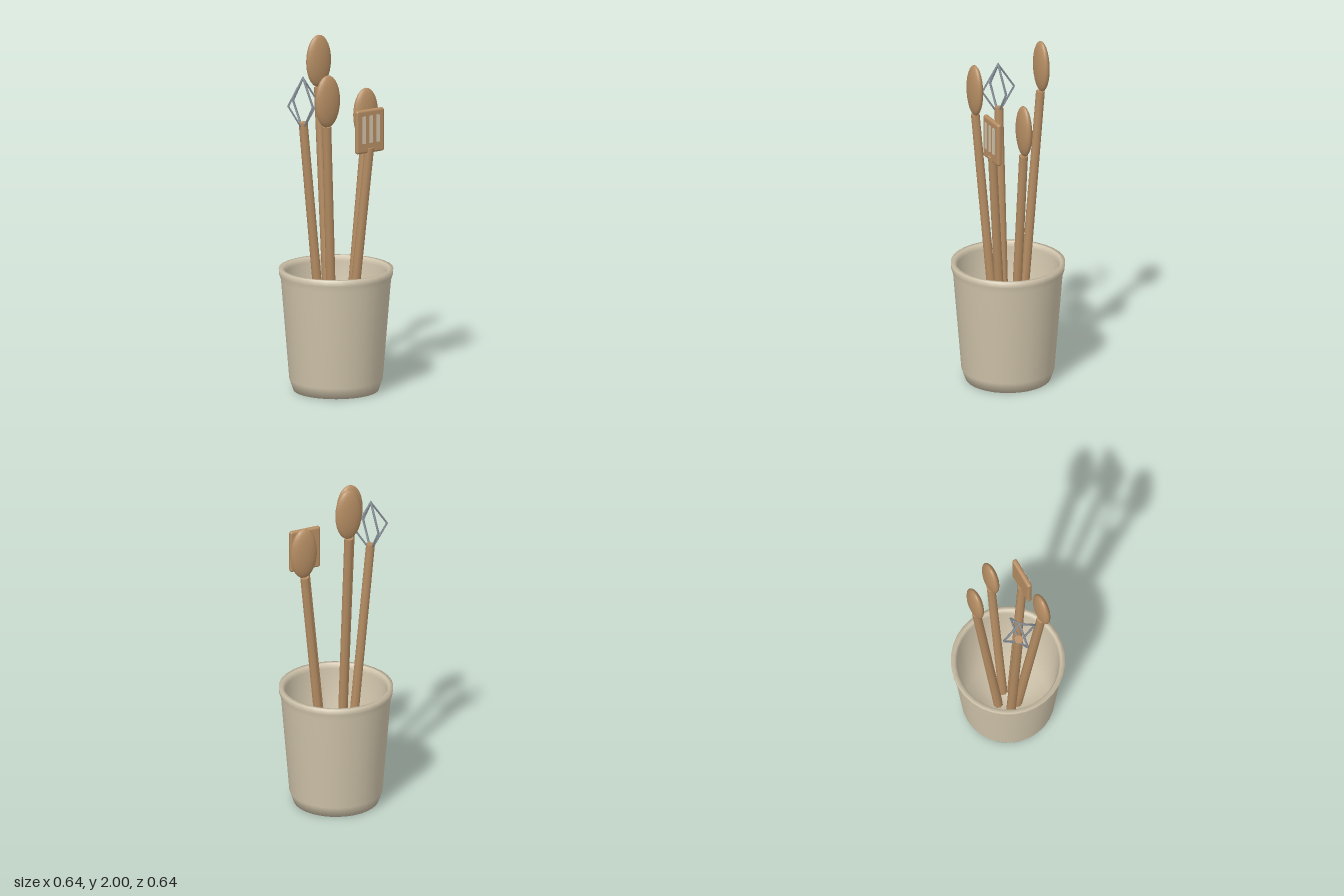
import * as THREE from 'three';
import { RoundedBoxGeometry } from 'three/addons/geometries/RoundedBoxGeometry.js';

export function createModel() {
  const material = (name, color) => {
    const m = new THREE.MeshStandardMaterial({ color });
    m.name = name;
    return m;
  };
  const ceramic = material('cream ceramic', 0xd0c4ab);
  const wood = material('wood', 0xb58d63);
  const steel = material('steel', 0x8d969f);

  const model = new THREE.Group();
  model.name = 'utensilPot';

  const add = (parent, name, geometry, mat, x = 0, y = 0, z = 0) => {
    const mesh = new THREE.Mesh(geometry, mat);
    mesh.name = name;
    mesh.position.set(x, y, z);
    parent.add(mesh);
    return mesh;
  };

  const utensil = (name) => {
    const group = new THREE.Group();
    group.name = name;
    model.add(group);
    return group;
  };

  // Round stick leaning from one point to another
  const addHandle = (parent, from, to) => {
    const a = new THREE.Vector3(...from);
    const b = new THREE.Vector3(...to);
    const dir = b.clone().sub(a);
    const mid = a.clone().add(b).multiplyScalar(0.5);
    const geometry = new THREE.CylinderGeometry(0.026, 0.027, dir.length(), 8);
    const handle = add(parent, 'handle', geometry, wood, mid.x, mid.y, mid.z);
    handle.quaternion.setFromUnitVectors(new THREE.Vector3(0, 1, 0), dir.normalize());
  };

  // Pot: outer wall, rolled rim, inner wall and floor in one profile
  const profile = [
    [0, 0], [0.24, 0], [0.262, 0.065], [0.308, 0.63], [0.319, 0.665], [0.321, 0.70],
    [0.298, 0.70], [0.287, 0.67], [0.235, 0.06], [0, 0.05],
  ].map(([r, y]) => new THREE.Vector2(r, y));
  add(model, 'pot', new THREE.LatheGeometry(profile, 32), ceramic);

  // Wooden spoons: handle foot, handle top, bowl centre
  const spoons = [
    ['backSpoon', [0.005, 0.05, -0.06], [0.014, 1.70, -0.196], [0.017, 1.85, -0.20]],
    ['frontSpoon', [-0.042, 0.05, 0.036], [-0.15, 1.56, 0.13], [-0.147, 1.705, 0.134]],
    ['sideSpoon', [0.06, 0.05, 0], [0.195, 1.41, 0], [0.20, 1.56, 0]],
  ];
  for (const [name, foot, top, centre] of spoons) {
    const spoon = utensil(name);
    addHandle(spoon, foot, top);
    const bowl = new THREE.SphereGeometry(1, 20, 14).scale(0.081, 0.15, 0.034);
    add(spoon, 'bowl', bowl, wood, ...centre);
  }

  // Spatula: flat blade with three slot plates on its front
  const spatula = utensil('spatula');
  addHandle(spatula, [0.035, 0.05, 0.045], [0.12, 1.41, 0.158]);
  add(spatula, 'blade', new RoundedBoxGeometry(0.187, 0.25, 0.029, 3, 0.013), wood, 0.12, 1.505, 0.157);
  for (const i of [-1, 0, 1]) {
    add(spatula, 'slot', new THREE.BoxGeometry(0.019, 0.155, 0.009), ceramic, 0.12 + i * 0.048, 1.517, 0.1735);
  }

  // Whisk: two crossed diamond-shaped wire loops
  const whisk = utensil('whisk');
  addHandle(whisk, [-0.06, 0.05, -0.014], [-0.195, 1.556, -0.04]);
  for (const turn of [0, Math.PI / 2]) {
    const loop = new THREE.TorusGeometry(0.1, 0.0065, 6, 4).scale(1, 1.5, 1);
    add(whisk, 'wireLoop', loop, steel, -0.198, 1.663, -0.037).rotation.y = turn;
  }

  return model;
}
